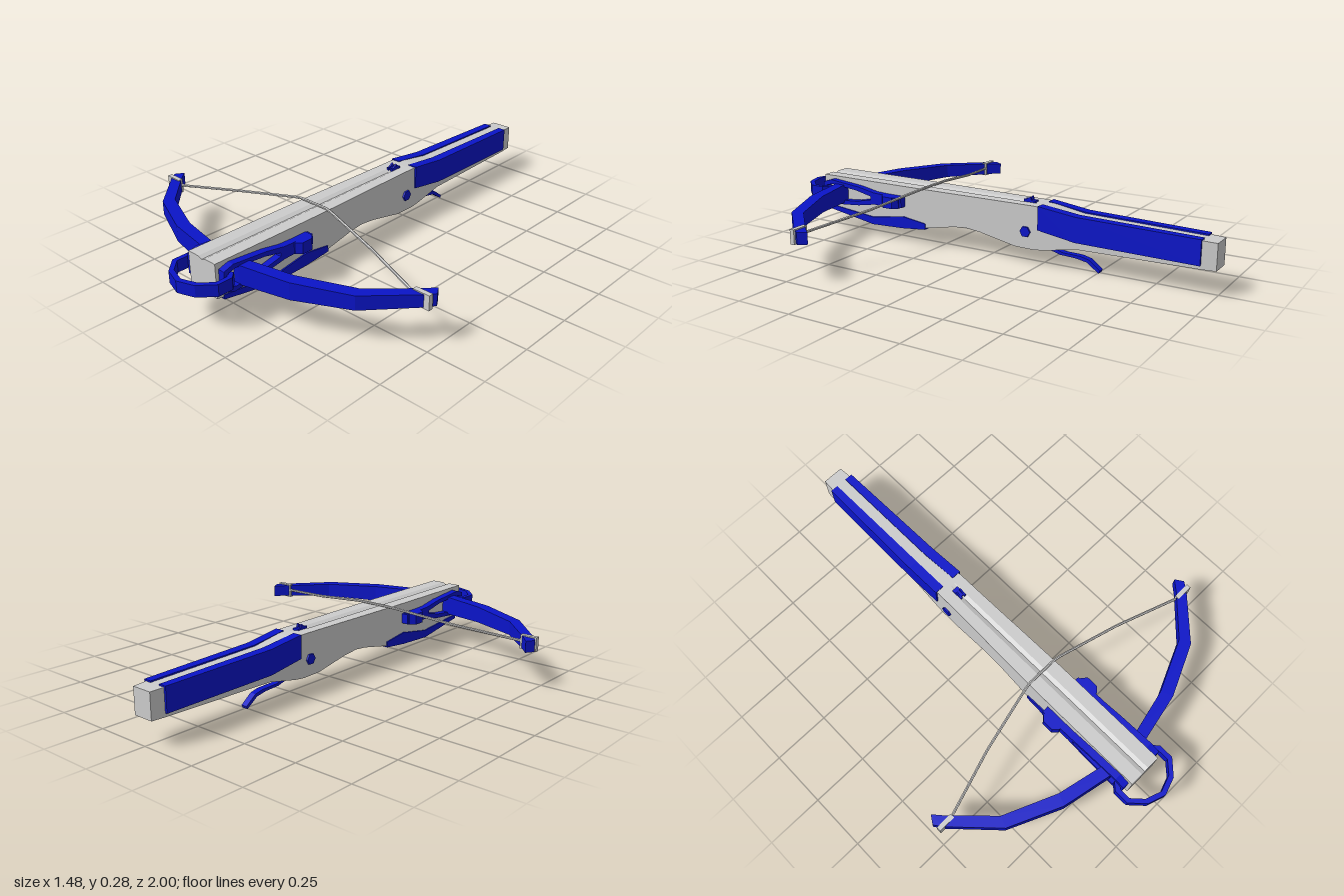
import * as THREE from 'three';

const grey = new THREE.MeshStandardMaterial({ color: 0xcccccc, flatShading: true });
const blue = new THREE.MeshStandardMaterial({ color: 0x0a14c8, flatShading: true });

// Skin a list of rings; each ring is counter-clockwise about the travel direction.
function loft(rings) {
  const n = rings[0].length, last = (rings.length - 1) * n, index = [];
  for (let k = 0; k < last; k += n) {
    for (let i = 0; i < n; i++) {
      const j = (i + 1) % n;
      index.push(k + i, k + j, k + n + j, k + i, k + n + j, k + n + i);
    }
  }
  for (let i = 1; i < n - 1; i++) index.push(0, i + 1, i, last, last + i, last + i + 1);
  const g = new THREE.BufferGeometry();
  g.setAttribute('position', new THREE.Float32BufferAttribute(rings.flat(2), 3));
  g.setIndex(index);
  const flat = g.toNonIndexed();
  flat.computeVertexNormals();
  return flat;
}

// Symmetric horizontal band; stations [outerX, outerZ, innerX, innerZ, halfHeight] from centre outwards.
function band(half, y) {
  const left = [...half].reverse().map(([a, b, c, d, h]) => [-a, b, -c, d, h]);
  return loft([...left, ...half].map(([ox, oz, ix, iz, h]) =>
    [[ix, y - h, iz], [ix, y + h, iz], [ox, y + h, oz], [ox, y - h, oz]]));
}

// Strip along one side; stations [z, bottom, top, innerX, outerX] with rising z.
function strip(stations, side) {
  return loft(stations.map(([z, b, t, i, o]) => {
    const ring = [[side * i, b, z], [side * o, b, z], [side * o, t, z], [side * i, t, z]];
    return side > 0 ? ring : ring.reverse();
  }));
}

// Side-view outline (z, y) extruded across x, centred on cx.
function plate(points, width, cx, hole) {
  const v = (list) => list.map(([z, y]) => new THREE.Vector2(z, y));
  const shape = new THREE.Shape(v(points));
  if (hole) shape.holes.push(new THREE.Path(v(hole)));
  return new THREE.ExtrudeGeometry(shape, { depth: width, bevelEnabled: false })
    .rotateY(-Math.PI / 2).translate(cx + width / 2, 0, 0);
}

export function createModel() {
  const model = new THREE.Group();
  const add = (name, geometry, material, x = 0, y = 0, z = 0) => {
    const mesh = new THREE.Mesh(geometry, material);
    mesh.name = name;
    mesh.position.set(x, y, z);
    model.add(mesh);
    return mesh;
  };

  // Stock with a shallow bolt groove: [z, bottom, top, half width]
  const stock = [
    [-1, 0.108, 0.218, 0.046], [-0.94, 0.107, 0.22, 0.05], [-0.42, 0.1, 0.232, 0.058],
    [-0.28, 0.073, 0.253, 0.062], [-0.23, 0.068, 0.255, 0.064], [-0.14, 0.07, 0.255, 0.065],
    [0.03, 0.105, 0.255, 0.068], [0.1, 0.113, 0.255, 0.07], [0.16, 0.108, 0.255, 0.071],
    [0.31, 0.08, 0.255, 0.074], [0.43, 0.07, 0.255, 0.075], [0.6, 0.064, 0.255, 0.075],
    [0.85, 0.105, 0.255, 0.075], [0.88, 0.11, 0.255, 0.075],
  ];
  add('stock', loft(stock.map(([z, b, t, w]) => {
    const groove = z > -0.2 ? 0.008 : 0;
    return [[0, b, z], [w, b, z], [w, t, z], [0.018, t, z], [0, t - groove, z],
      [-0.018, t, z], [-w, t, z], [-w, b, z]];
  })), grey);

  // Bow limbs and front stirrup
  add('bowLimbs', band([
    [0.1, 0.795, 0.1, 0.745, 0.041], [0.32, 0.75, 0.3, 0.7, 0.036],
    [0.545, 0.65, 0.525, 0.602, 0.03], [0.715, 0.475, 0.68, 0.448, 0.026],
    [0.74, 0.44, 0.717, 0.405, 0.025],
  ], 0.185), blue);
  add('stirrup', band([
    [0, 1, 0, 0.978, 0.025], [0.075, 0.975, 0.068, 0.955, 0.025],
    [0.132, 0.915, 0.112, 0.908, 0.025], [0.132, 0.85, 0.112, 0.858, 0.025],
    [0.105, 0.82, 0.08, 0.835, 0.025],
  ], 0.185), blue);

  for (const s of [1, -1]) {
    const side = s > 0 ? 'left' : 'right';

    // Shoulder and fore-end grips
    add(side + 'RearGrip', strip([
      [-0.94, 0.122, 0.226, 0.024, 0.059], [-0.42, 0.13, 0.237, 0.024, 0.067],
      [-0.25, 0.157, 0.258, 0.028, 0.07],
    ], s), blue);
    add(side + 'FrontGrip', strip([
      [0.31, 0.074, 0.1, 0.036, 0.079], [0.43, 0.063, 0.117, 0.036, 0.081],
      [0.6, 0.056, 0.09, 0.036, 0.081], [0.85, 0.096, 0.115, 0.036, 0.079],
    ], s), blue);

    // Open bracket holding the limb, with its clamp knob
    add(side + 'Bracket', plate(
      [[0.42, 0.163], [0.57, 0.158], [0.66, 0.142], [0.82, 0.128], [0.865, 0.142],
        [0.865, 0.228], [0.82, 0.242], [0.66, 0.228], [0.57, 0.212], [0.42, 0.207]],
      0.032, s * 0.089,
      [[0.59, 0.177], [0.67, 0.16], [0.81, 0.147], [0.845, 0.155],
        [0.845, 0.215], [0.81, 0.223], [0.67, 0.21], [0.59, 0.193]]), blue);
    add(side + 'Knob', loft([[0.43, 0.11], [0.45, 0.132], [0.5, 0.132], [0.52, 0.11]].map(([z, o]) => {
      const ring = [[s * 0.075, 0.16, z], [s * o, 0.16, z], [s * o, 0.21, z], [s * 0.075, 0.21, z]];
      return s > 0 ? ring : ring.reverse();
    })), blue);

    // Clip wrapped around the limb tip
    add(side + 'StringClip', new THREE.BoxGeometry(0.075, 0.062, 0.02), grey, s * 0.698, 0.185, 0.469);

    // Notched catch prongs
    add(side + 'CatchProng', plate(
      [[-0.185, 0.245], [-0.155, 0.245], [-0.155, 0.265], [-0.165, 0.265], [-0.185, 0.278], [-0.19, 0.262]],
      0.008, s * 0.01), blue);
  }
  add('catchBase', new THREE.BoxGeometry(0.028, 0.012, 0.045), blue, 0, 0.256, -0.185);

  // Bowstring
  const path = new THREE.CurvePath();
  const knots = [[-0.67, 0.187, 0.468], [-0.38, 0.222, 0.378], [-0.08, 0.264, 0.308], [0.08, 0.264, 0.308],
    [0.38, 0.222, 0.378], [0.67, 0.187, 0.468]].map((p) => new THREE.Vector3(...p));
  for (let i = 1; i < knots.length; i++) path.add(new THREE.LineCurve3(knots[i - 1], knots[i]));
  add('bowstring', new THREE.TubeGeometry(path, 40, 0.006, 6), grey);

  // Cross pin and trigger lever
  add('crossPin', new THREE.CylinderGeometry(0.024, 0.024, 0.146, 6).rotateZ(Math.PI / 2), blue, 0, 0.142, -0.192);
  add('trigger', plate(
    [[-0.25, 0.08], [-0.265, 0.067], [-0.33, 0.05], [-0.4, 0.047], [-0.45, 0.038], [-0.505, 0],
      [-0.51, 0.012], [-0.46, 0.05], [-0.42, 0.059], [-0.34, 0.061], [-0.28, 0.08]],
    0.028, 0), blue);
  return model;
}
